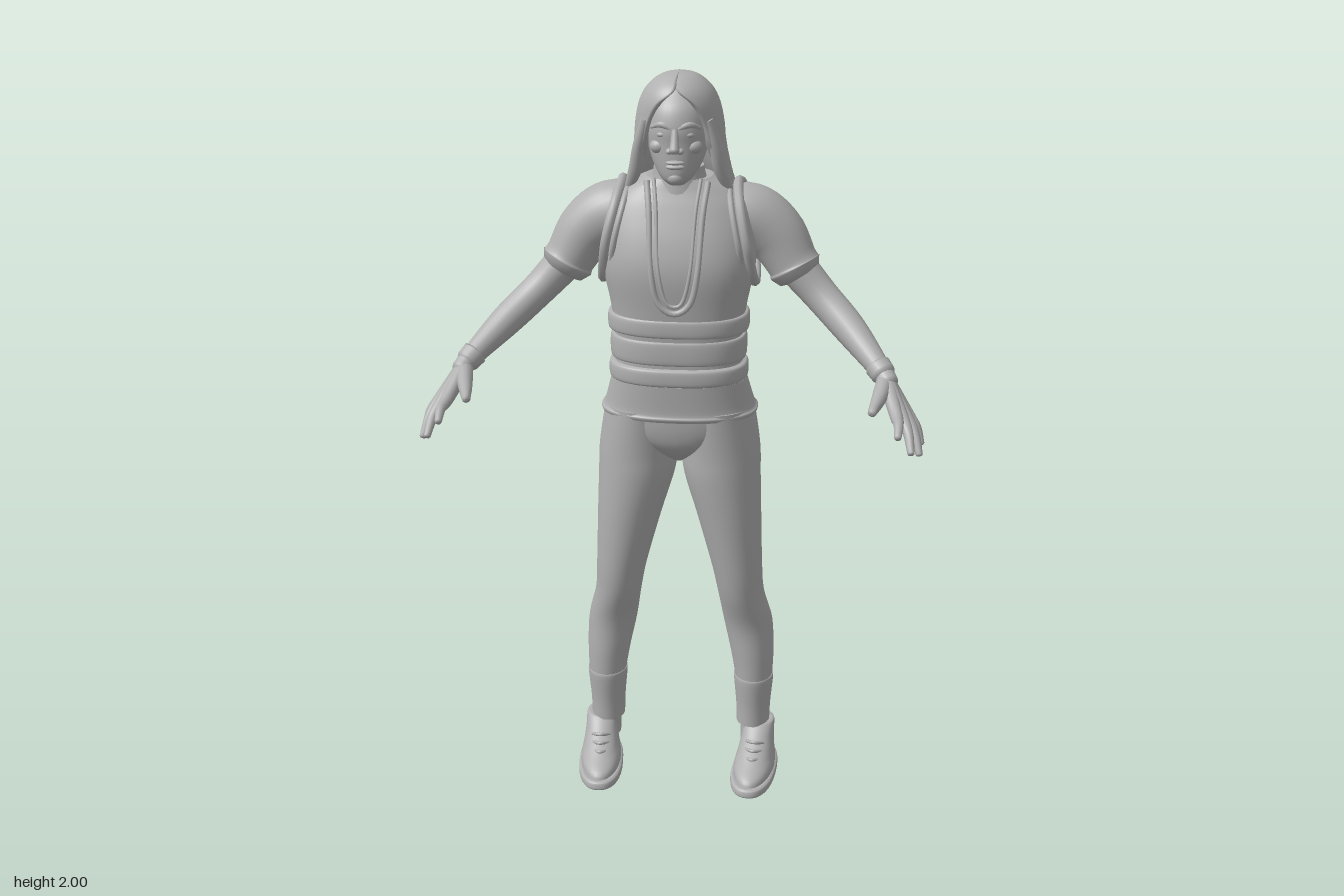
import * as THREE from 'three';
import { mergeGeometries } from 'three/addons/utils/BufferGeometryUtils.js';

const grey = new THREE.MeshStandardMaterial({ color: 0xb0b0b0 });
grey.name = 'plain grey';
const V = (x, y, z) => new THREE.Vector3(x, y, z);
const curveOf = (pts, closed = false) =>
  new THREE.CatmullRomCurve3(pts.map(p => V(p[0], p[1], p[2])), closed, 'catmullrom', 0.5);

// Closed smooth skin over a stack of rings, capped at both ends
function skin(rings, cap = true) {
  const n = rings[0].length, m = rings.length, pos = [], idx = [];
  rings.forEach(r => r.forEach(p => pos.push(p.x, p.y, p.z)));
  for (let i = 0; i < m - 1; i++) for (let j = 0; j < n; j++) {
    const a = i * n + j, b = i * n + (j + 1) % n;
    idx.push(a, b, a + n, b, b + n, a + n);
  }
  if (cap) [0, m - 1].forEach((row, end) => {
    const c = V(0, 0, 0), k = pos.length / 3;
    rings[row].forEach(p => c.add(p));
    c.divideScalar(n);
    rings[row].forEach(p => pos.push(p.x, p.y, p.z));
    pos.push(c.x, c.y, c.z);
    for (let j = 0; j < n; j++) {
      const a = k + j, b = k + (j + 1) % n;
      if (end) idx.push(a, b, k + n);
      else idx.push(b, a, k + n);
    }
  });
  const g = new THREE.BufferGeometry();
  g.setAttribute('position', new THREE.Float32BufferAttribute(pos, 3));
  g.setIndex(idx);
  g.computeVertexNormals();
  return g;
}

const spow = (v, p) => Math.sign(v) * Math.abs(v) ** p;

// Horizontal sections from bottom to top: [x, y, z, rx, rz]
function loft(secs, p = 1, n = 36) {
  const mid = curveOf(secs), size = curveOf(secs.map(s => [s[3], s[4], 0]));
  const steps = (secs.length - 1) * 5, rings = [];
  for (let i = 0; i <= steps; i++) {
    const c = mid.getPoint(i / steps), r = size.getPoint(i / steps), ring = [];
    for (let j = 0; j < n; j++) {
      const a = j / n * Math.PI * 2;
      ring.push(V(c.x + r.x * spow(Math.cos(a), p), c.y, c.z - r.y * spow(Math.sin(a), p)));
    }
    rings.push(ring);
  }
  return skin(rings);
}

// Round limb along points [x, y, z, radius] with rounded end
function limb(pts, n = 20) {
  const path = curveOf(pts), rad = curveOf(pts.map(p => [p[3], 0, 0]));
  const steps = (pts.length - 1) * 6, rings = [], ref = V(0.3, 0.2, -0.93);
  const ring = (c, t, r) => {
    const N = V(0, 0, 0).crossVectors(t, ref).normalize(), B = V(0, 0, 0).crossVectors(t, N);
    rings.push(Array.from({ length: n }, (_, j) => {
      const a = j / n * Math.PI * 2;
      return c.clone().addScaledVector(N, r * Math.cos(a)).addScaledVector(B, r * Math.sin(a));
    }));
  };
  for (let i = 0; i <= steps; i++) ring(path.getPoint(i / steps), path.getTangent(i / steps), rad.getPoint(i / steps).x);
  const end = path.getPoint(1), t = path.getTangent(1), r = pts[pts.length - 1][3];
  ring(end.clone().addScaledVector(t, r * 0.35), t, r * 0.8);
  ring(end.clone().addScaledVector(t, r * 0.5), t, r * 0.3);
  return skin(rings);
}

const cord = (pts, r, closed = false) => new THREE.TubeGeometry(curveOf(pts, closed), 60, r, 8, closed);
// Ellipsoid without uv, so that it merges with limbs
const ball = (x, y, z, a, b, c) =>
  new THREE.SphereGeometry(1, 20, 14).deleteAttribute('uv').scale(a, b, c).translate(x, y, z);

function mirrored(g) {
  const m = g.clone().scale(-1, 1, 1), ix = m.index.array;
  for (let i = 0; i < ix.length; i += 3) [ix[i], ix[i + 1]] = [ix[i + 1], ix[i]];
  return m;
}

// Long hair: C-shaped sections [y, z, rx, rz, opening angle, squareness]
function hairGeometry() {
  const secs = [
    [1.18, -0.2, 0.115, 0.05, 100, 0.6], [1.4, -0.2, 0.14, 0.062, 104, 0.6],
    [1.58, -0.185, 0.155, 0.08, 100, 0.65], [1.68, -0.15, 0.145, 0.105, 85, 0.8],
    [1.75, -0.12, 0.13, 0.115, 63, 0.95], [1.82, -0.1, 0.118, 0.118, 48, 1],
    [1.88, -0.095, 0.112, 0.118, 39, 1], [1.93, -0.092, 0.1, 0.114, 26, 1],
    [1.965, -0.09, 0.079, 0.096, 2, 1], [1.99, -0.09, 0.046, 0.058, 1, 1], [2, -0.09, 0.004, 0.004, 1, 1]];
  const A = curveOf(secs), B = curveOf(secs.map(s => s.slice(3))), steps = 60, n = 64, rings = [];
  for (let i = 0; i <= steps; i++) {
    const a = A.getPoint(i / steps), b = B.getPoint(i / steps), ring = [];
    const open = Math.max(b.y, 0.5) * Math.PI / 180, fade = THREE.MathUtils.clamp((1.95 - a.x) * 3, 0, 1);
    const inner = i ? 0.84 : 0.99;
    for (let k = 0; k < 2 * n; k++) {
      const out = k < n, f = (out ? k : 2 * n - 1 - k) / (n - 1);
      const t = -Math.PI / 2 + open + f * 2 * (Math.PI - open);
      const s = out ? 1 + 0.022 * fade * Math.sin(t * 17 + Math.sin(t * 5)) : inner;
      ring.push(V(a.z * s * spow(Math.cos(t), b.z), a.x, a.y - b.x * s * spow(Math.sin(t), b.z)));
    }
    rings.push(ring);
  }
  return skin(rings, false);
}

export function createModel() {
  const model = new THREE.Group();
  const add = (name, g) => {
    const mesh = new THREE.Mesh(g, grey);
    mesh.name = name;
    model.add(mesh);
  };
  const pair = (name, g) => { add('left' + name, g); add('right' + name, mirrored(g)); };

  // Torso, hem and waist bands
  add('torso', loft([[0, 1.14, -0.1, 0.18, 0.125], [0, 1.2, -0.09, 0.175, 0.12], [0, 1.3, -0.083, 0.168, 0.116],
    [0, 1.4, -0.085, 0.178, 0.127], [0, 1.5, -0.088, 0.198, 0.138], [0, 1.58, -0.1, 0.2, 0.135],
    [0, 1.66, -0.113, 0.185, 0.118], [0, 1.705, -0.115, 0.145, 0.1], [0, 1.735, -0.105, 0.085, 0.08]], 0.8, 48));
  add('shirtHem', loft([[0, 1.1, -0.11, 0.208, 0.138], [0, 1.11, -0.11, 0.21, 0.142], [0, 1.125, -0.108, 0.2, 0.136],
    [0, 1.2, -0.09, 0.18, 0.122]], 0.85, 48));
  [[1.2, 1.25, 0.183, 0.127], [1.258, 1.325, 0.179, 0.124], [1.333, 1.385, 0.185, 0.129]].forEach(([a, b, rx, rz], i) =>
    add('waistBand' + (i + 1), loft([[0, a, -0.086, rx - 0.012, rz - 0.01], [0, a + 0.008, -0.086, rx, rz],
      [0, b - 0.008, -0.086, rx, rz], [0, b, -0.086, rx - 0.012, rz - 0.01]], 0.8, 48)));
  add('pelvis', loft([[0, 0.965, -0.1, 0.02, 0.05], [0, 1.01, -0.105, 0.11, 0.105],
    [0, 1.06, -0.11, 0.185, 0.128], [0, 1.14, -0.105, 0.19, 0.128]], 0.9));

  // Collar, neck cord and armhole trim
  add('collar', loft([[0, 1.68, -0.1, 0.1, 0.09], [0, 1.73, -0.085, 0.072, 0.068], [0, 1.765, -0.08, 0.064, 0.06]]));
  [[0, 0.008], [0.018, 0.005]].forEach(([d, r], i) => {
    const half = [[0.078, 1.73, -0.035], [0.068, 1.65, 0.006], [0.06, 1.52, 0.044], [0.042, 1.435, 0.049]]
      .map(([x, y, z]) => [x - d, y + d * 0.4, z]);
    const otherHalf = half.map(([x, y, z]) => [-x, y, z]).reverse();
    add('neckCord' + (i + 1), cord([...half, [0, 1.405 + d, 0.049], ...otherHalf], r));
  });
  const hole = [[0.15, 1.715, -0.11], [0.16, 1.67, -0.025], [0.182, 1.57, 0.002], [0.197, 1.47, -0.06],
    [0.197, 1.48, -0.15], [0.183, 1.6, -0.21], [0.16, 1.69, -0.18]];
  pair('ArmholeTrim', cord(hole, 0.013, true));
  pair('VestSeam', cord(hole.map(([x, y, z]) => [x - 0.022, y, z + 0.004]), 0.008, true));

  // Sleeves and arms
  pair('Sleeve', limb([[0.1, 1.62, -0.125, 0.08], [0.18, 1.62, -0.14, 0.086], [0.245, 1.575, -0.14, 0.08],
    [0.29, 1.507, -0.128, 0.068], [0.3, 1.49, -0.125, 0.071]], 28));
  pair('Arm', limb([[0.27, 1.53, -0.13, 0.055], [0.365, 1.428, -0.105, 0.046], [0.45, 1.35, -0.042, 0.042],
    [0.53, 1.275, 0.055, 0.028], [0.55, 1.25, 0.085, 0.027]]));
  pair('Wristband', limb([[0.522, 1.283, 0.045, 0.034], [0.537, 1.268, 0.063, 0.032]]));

  // Hands: fingers fan out from the wrist and merge into a palm
  const fingers = [[[0.57, 1.2, 0.175], [0.575, 1.17, 0.262]], [[0.585, 1.192, 0.165], [0.61, 1.123, 0.243]],
    [[0.598, 1.182, 0.145], [0.632, 1.105, 0.2]], [[0.603, 1.178, 0.122], [0.637, 1.115, 0.148]]];
  pair('Hand', mergeGeometries([
    ...fingers.map(([k, t]) => limb([[0.545, 1.255, 0.08, 0.022], [...k, 0.017],
      [(k[0] + t[0]) / 2 + 0.004, (k[1] + t[1]) / 2 + 0.005, (k[2] + t[2]) / 2, 0.013], [...t, 0.009]], 12)),
    limb([[0.542, 1.255, 0.08, 0.022], [0.527, 1.232, 0.15, 0.019], [0.51, 1.218, 0.22, 0.011]], 12)]));

  // Legs, cuffs and raised patches behind the thighs
  pair('Leg', loft([[0.21, 0.2, -0.135, 0.045, 0.058], [0.21, 0.28, -0.135, 0.052, 0.064], [0.205, 0.36, -0.138, 0.06, 0.072],
    [0.192, 0.46, -0.137, 0.068, 0.078], [0.172, 0.56, -0.112, 0.064, 0.082], [0.16, 0.65, -0.1, 0.07, 0.086],
    [0.137, 0.8, -0.1, 0.088, 0.101], [0.117, 0.92, -0.106, 0.104, 0.115], [0.111, 1, -0.112, 0.107, 0.122],
    [0.1, 1.12, -0.112, 0.1, 0.128]]));
  pair('Cuff', loft([[0.21, 0.14, -0.137, 0.047, 0.056], [0.21, 0.2, -0.137, 0.049, 0.06], [0.21, 0.285, -0.135, 0.056, 0.068],
    [0.21, 0.29, -0.135, 0.05, 0.06]]));
  pair('Ankle', loft([[0.215, 0.08, -0.135, 0.04, 0.05], [0.213, 0.15, -0.137, 0.04, 0.049]]));
  pair('ThighPatch', ball(0.11, 0.82, -0.188, 0.022, 0.085, 0.02));

  // Shoes, turned slightly inward
  const place = g => g.rotateY(-0.09).translate(0.217, 0, 0);
  pair('ShoeSole', place(loft([[0, 0.014, -0.04, 0.055, 0.135], [0, 0.02, -0.043, 0.062, 0.146],
    [0, 0.035, -0.045, 0.062, 0.146], [0, 0.04, -0.045, 0.056, 0.14]], 0.85)));
  pair('ShoeHeel', place(loft([[0, 0, -0.14, 0.045, 0.045], [0, 0.03, -0.14, 0.047, 0.048]], 0.8)));
  pair('ShoeUpper', place(loft([[0, 0.03, -0.047, 0.056, 0.137], [0, 0.055, -0.053, 0.056, 0.13], [0, 0.08, -0.08, 0.05, 0.102],
    [0, 0.11, -0.11, 0.045, 0.073], [0, 0.14, -0.135, 0.043, 0.053], [0, 0.145, -0.135, 0.036, 0.045]])));
  pair('Laces', place(mergeGeometries([0, 1, 2].map(i =>
    cord([[-0.025, 0.08 + i * 0.015, -0.013 - i * 0.02], [0, 0.087 + i * 0.015, 0.01 - i * 0.023],
      [0.025, 0.08 + i * 0.015, -0.013 - i * 0.02]], 0.005)))));

  // Head and face
  add('neck', loft([[0, 1.68, -0.09, 0.06, 0.06], [0, 1.8, -0.08, 0.055, 0.06]]));
  add('head', loft([[0, 1.728, -0.025, 0.022, 0.03], [0, 1.745, -0.035, 0.042, 0.054], [0, 1.78, -0.055, 0.063, 0.078],
    [0, 1.83, -0.065, 0.078, 0.088], [0, 1.87, -0.065, 0.08, 0.09], [0, 1.92, -0.075, 0.074, 0.086],
    [0, 1.96, -0.085, 0.045, 0.06]], 0.95));
  add('nose', mergeGeometries([limb([[0, 1.87, 0.018, 0.009], [0, 1.84, 0.029, 0.011], [0, 1.82, 0.037, 0.013]], 14),
    ball(0.013, 1.818, 0.024, 0.01, 0.008, 0.012), ball(-0.013, 1.818, 0.024, 0.01, 0.008, 0.012)]));
  pair('Brow', limb([[0.008, 1.872, 0.018, 0.007], [0.035, 1.882, 0.013, 0.008], [0.06, 1.872, -0.007, 0.005]], 10));
  pair('Eye', ball(0.032, 1.857, 0.01, 0.015, 0.008, 0.01));
  pair('Cheek', ball(0.042, 1.825, -0.007, 0.024, 0.02, 0.022));
  add('upperLip', ball(0, 1.789, 0.021, 0.024, 0.006, 0.012));
  add('lowerLip', ball(0, 1.778, 0.021, 0.024, 0.007, 0.012));
  add('chin', ball(0, 1.748, 0.006, 0.022, 0.018, 0.018));
  add('hair', hairGeometry());

  // Front locks hanging onto the shoulders
  pair('FrontLock', limb([[0.078, 1.89, -0.02, 0.012], [0.097, 1.82, -0.035, 0.016], [0.108, 1.76, -0.055, 0.018],
    [0.128, 1.705, -0.075, 0.012]], 12));
  return model;
}
